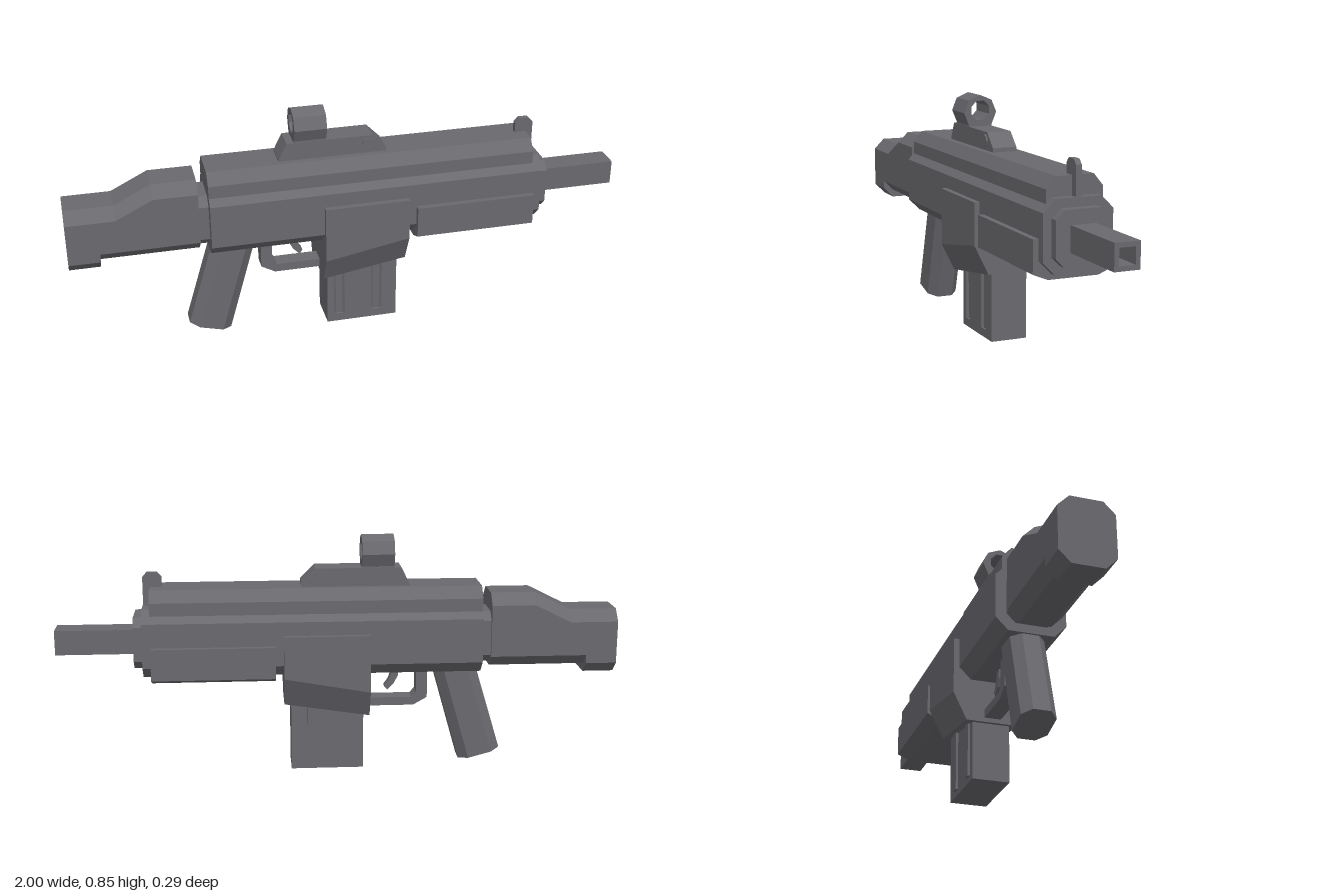
import * as THREE from 'three';

const gunmetal = new THREE.MeshStandardMaterial({ color: 0x6a696e, flatShading: true });
gunmetal.name = 'gunmetal';

// Skin between convex rings of [x, y, z] points, closed at both ends
function loft(rings) {
  const pos = [];
  const tri = (...pts) => pts.forEach((p) => pos.push(...p));
  const n = rings[0].length;
  for (let r = 0; r + 1 < rings.length; r++) {
    for (let i = 0; i < n; i++) {
      const j = (i + 1) % n;
      const [s, t] = [rings[r], rings[r + 1]];
      tri(s[i], s[j], t[j]);
      tri(s[i], t[j], t[i]);
    }
  }
  const first = rings[0], last = rings[rings.length - 1];
  for (let i = 1; i + 1 < n; i++) {
    tri(first[0], first[i + 1], first[i]);
    tri(last[0], last[i], last[i + 1]);
  }
  const g = new THREE.BufferGeometry();
  g.setAttribute('position', new THREE.Float32BufferAttribute(pos, 3));
  g.computeVertexNormals();
  return g;
}

// Ring at x from half a cross-section of [z, y] points, top to bottom, mirrored in z
const ring = (x, half) => [
  ...half.map(([z, y]) => [x, y, z]),
  ...half.slice().reverse().map(([z, y]) => [x, y, -z]),
];

// Half octagon cross-section
const oct = (w, bottom, top, cut, cutY = cut) => [
  [w - cut, top], [w, top - cutY], [w, bottom + cutY], [w - cut, bottom],
];

const prism = (x0, x1, half) => loft([ring(x0, half), ring(x1, half)]);

// Side profile of [x, y] points given a thickness centred on z = 0
function plate(pts, width) {
  const s = new THREE.Shape(pts.map(([x, y]) => new THREE.Vector2(x, y)));
  return new THREE.ExtrudeGeometry(s, { depth: width, bevelEnabled: false }).translate(0, 0, -width / 2);
}

// Tube along x with polygonal outside and hole, both as [z, y] points
function tube(x0, x1, outer, inner) {
  const v = (pts) => pts.map(([z, y]) => new THREE.Vector2(z, y));
  const s = new THREE.Shape(v(outer));
  s.holes.push(new THREE.Path(v(inner)));
  return new THREE.ExtrudeGeometry(s, { depth: x1 - x0, bevelEnabled: false })
    .rotateY(Math.PI / 2).translate(x0, 0, 0);
}

const polygon = (n, r, cy, turn) => Array.from({ length: n }, (_, i) => {
  const a = turn + (i / n) * Math.PI * 2;
  return [r * Math.cos(a), cy + r * Math.sin(a)];
});

export function createModel() {
  const model = new THREE.Group();
  const add = (name, geometry) => {
    const m = new THREE.Mesh(geometry, gunmetal);
    m.name = name;
    model.add(m);
    return m;
  };

  // Receiver and raised upper cover
  add('receiver', prism(-0.51, 0.69, oct(0.123, 0.36, 0.604, 0.043)));
  add('upperCover', prism(-0.51, 0.662, [[0.067, 0.67], [0.1, 0.63], [0.1, 0.5], [0.067, 0.5]]));
  add('frontCap', prism(0.69, 0.722, oct(0.094, 0.39, 0.573, 0.03)));

  // Square hollow barrel
  const c = 0.48, q = Math.PI / 4, d = Math.SQRT2;
  add('barrel', tube(0.71, 1, polygon(4, 0.044 * d, c, q), polygon(4, 0.028 * d, c, q)));

  // Handguard and magazine well
  add('handguard', prism(0.225, 0.66, [[0.143, 0.475], [0.143, 0.362], [0.09, 0.34]]));
  add('magazineWell', loft([
    ring(-0.11, [[0.143, 0.512], [0.143, 0.305], [0.095, 0.206]]),
    ring(0.195, [[0.143, 0.512], [0.143, 0.36], [0.09, 0.252]]),
  ]));

  // Magazine: solid foot, grooved left side, ribbed right side
  add('magazineFoot', new THREE.BoxGeometry(0.26, 0.03, 0.134).translate(0.04, 0.015, 0));
  const grooves = [-0.045, 0.095];
  const outline = [[-0.09, 0.067], [-0.09, -0.067]];
  grooves.forEach((x) => outline.push(
    [x - 0.02, -0.067], [x - 0.012, -0.059], [x + 0.012, -0.059], [x + 0.02, -0.067]));
  outline.push([0.17, -0.067], [0.17, 0.067]);
  add('magazine', plate(outline, 0.29).rotateX(Math.PI / 2).scale(1, 1, 1).translate(0, 0.175, 0))
    .geometry.scale(1, 1, -1).rotateY(0);
  // Turn the faces back after the flip
  const flipped = model.getObjectByName('magazine').geometry;
  const p = flipped.attributes.position;
  for (let i = 0; i < p.count; i += 3) {
    const a = new THREE.Vector3().fromBufferAttribute(p, i + 1);
    const b = new THREE.Vector3().fromBufferAttribute(p, i + 2);
    p.setXYZ(i + 1, b.x, b.y, b.z);
    p.setXYZ(i + 2, a.x, a.y, a.z);
  }
  flipped.computeVertexNormals();
  grooves.forEach((x) => add('magazineRib',
    new THREE.BoxGeometry(0.032, 0.24, 0.012).translate(x, 0.14, -0.069)));

  // Stock with a raised cheek and a deeper butt
  add('stock', loft([
    ring(-0.89, oct(0.095, 0.375, 0.577, 0.04)),
    ring(-0.83, oct(0.095, 0.375, 0.577, 0.04)),
    ring(-0.7, oct(0.095, 0.375, 0.642, 0.04)),
    ring(-0.545, oct(0.095, 0.375, 0.642, 0.04)),
  ]));
  add('butt', loft([
    ring(-1, oct(0.095, 0.345, 0.577, 0.04)),
    ring(-0.89, oct(0.095, 0.345, 0.577, 0.04)),
  ]));
  add('stockJoint', prism(-0.55, -0.505, oct(0.085, 0.39, 0.575, 0.03)));

  // Slanted eight-sided pistol grip
  const gripRing = (xa, ya, xb, yb) => {
    const at = (t, z) => [xa + (xb - xa) * t, ya + (yb - ya) * t, z];
    return [at(0, -0.03), at(0, 0.03), at(0.22, 0.06), at(0.78, 0.06),
      at(1, 0.03), at(1, -0.03), at(0.78, -0.06), at(0.22, -0.06)];
  };
  add('grip', loft([
    gripRing(-0.595, 0.053, -0.445, 0.013),
    gripRing(-0.49, 0.4, -0.335, 0.4),
  ]));

  // Trigger and its guard
  add('triggerGuard', plate([
    [-0.325, 0.38], [-0.325, 0.25], [-0.275, 0.222], [-0.1, 0.222],
    [-0.1, 0.252], [-0.268, 0.252], [-0.285, 0.27], [-0.285, 0.38],
  ], 0.06));
  add('trigger', plate([
    [-0.225, 0.38], [-0.22, 0.33], [-0.205, 0.3], [-0.182, 0.276],
    [-0.17, 0.29], [-0.187, 0.315], [-0.195, 0.34], [-0.195, 0.38],
  ], 0.03));

  // Sight base, clamp screws and octagonal sight tube
  add('sightBase', plate([
    [-0.255, 0.66], [-0.255, 0.675], [-0.225, 0.735], [0.08, 0.735], [0.13, 0.685], [0.13, 0.66],
  ], 0.09));
  add('sightScrew', new THREE.CylinderGeometry(0.022, 0.022, 0.102, 8)
    .rotateX(Math.PI / 2).translate(0.065, 0.705, 0));
  add('sightTube', tube(-0.2, -0.085,
    polygon(8, 0.063, 0.785, 0), polygon(8, 0.037, 0.793, Math.PI / 8)));
  add('sightNeck', new THREE.BoxGeometry(0.115, 0.025, 0.088).translate(-0.1425, 0.735, 0));

  // Front sight blade
  add('frontSight', plate([
    [0.622, 0.6], [0.622, 0.705], [0.637, 0.722], [0.672, 0.722], [0.688, 0.705], [0.688, 0.6],
  ], 0.02));

  return model;
}
